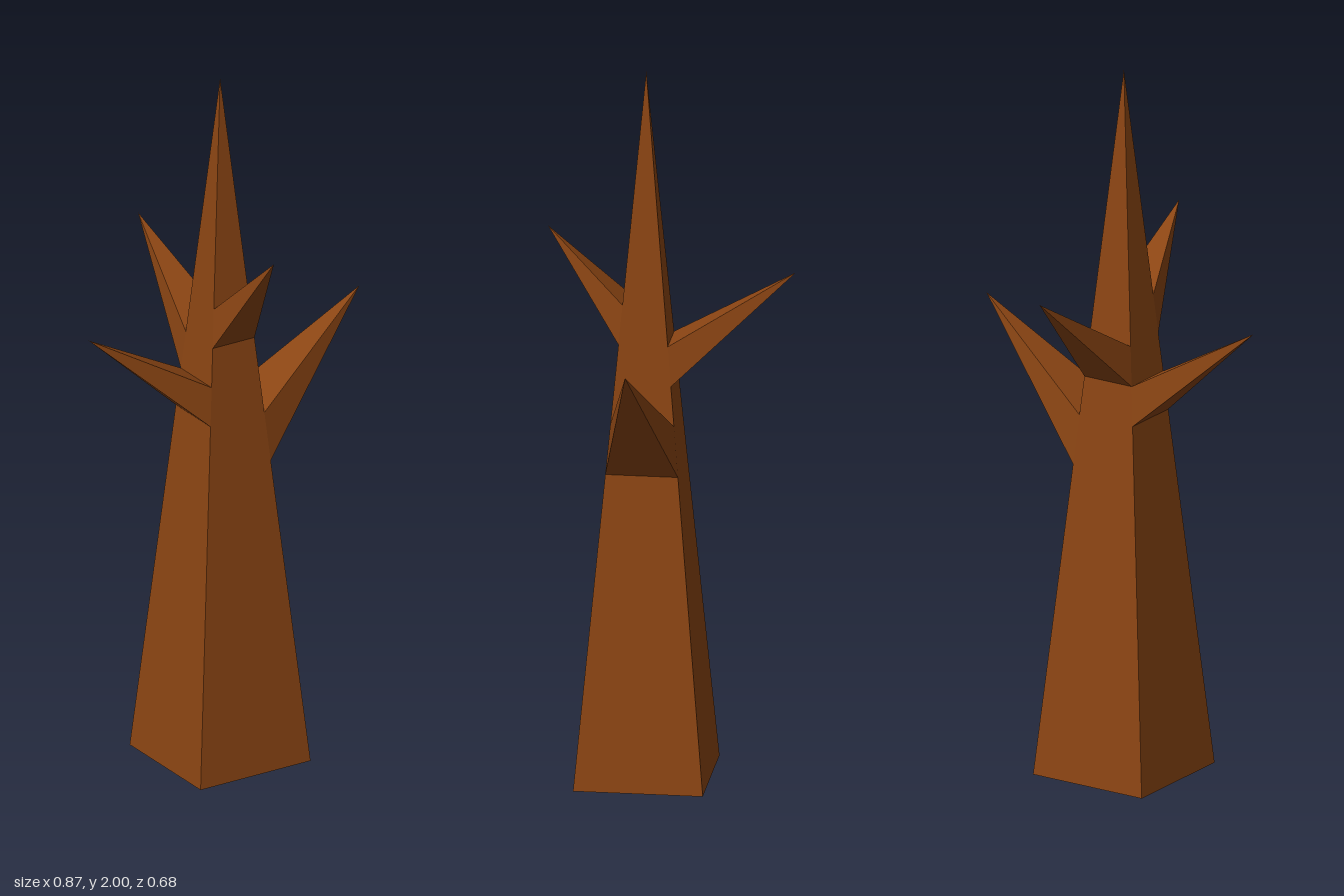
import * as THREE from 'three';

const HEIGHT = 2, BASE = 0.1765;
// Half-width of the square trunk at height y
const halfWidth = (y) => BASE * (1 - y / HEIGHT);

// Spike growing out of the trunk's +z face between heights low and high
function branchGeometry(low, high, tipY, reach) {
  const a = halfWidth(low), b = halfWidth(high);
  const ring = [[-a, low, a], [a, low, a], [b, high, b], [-b, high, b]];
  const tip = [0, tipY, reach];
  const points = [];
  for (let i = 0; i < 4; i++) points.push(...ring[i], ...ring[(i + 1) % 4], ...tip);
  const geometry = new THREE.BufferGeometry();
  geometry.setAttribute('position', new THREE.Float32BufferAttribute(points, 3));
  geometry.computeVertexNormals();
  return geometry;
}

export function createModel() {
  const bark = new THREE.MeshStandardMaterial({ color: 0x8b4513, flatShading: true });
  bark.name = 'brown bark';

  const tree = new THREE.Group();
  tree.name = 'bareTree';

  // Square tapering trunk, ending in a point
  const trunkGeometry = new THREE.ConeGeometry(BASE * Math.SQRT2, HEIGHT, 4);
  trunkGeometry.rotateY(Math.PI / 4).translate(0, HEIGHT / 2, 0);
  const trunk = new THREE.Mesh(trunkGeometry, bark);
  trunk.name = 'trunk';
  tree.add(trunk);

  // One branch per side, climbing in a spiral: name, turn, low, high, tip height, reach
  const branches = [
    ['leftBranch', 1, 0.88, 1.02, 1.275, 0.447],
    ['rightBranch', 3, 1.02, 1.13, 1.325, 0.422],
    ['backBranch', 2, 1.13, 1.24, 1.445, 0.408],
    ['frontBranch', 0, 1.24, 1.35, 1.55, 0.268],
  ];
  for (const [name, turn, ...shape] of branches) {
    const branch = new THREE.Mesh(branchGeometry(...shape), bark);
    branch.name = name;
    branch.rotation.y = turn * Math.PI / 2;
    tree.add(branch);
  }

  // Offset so that the branch tips are centred
  tree.position.set(-0.0125, 0, 0.07);
  const model = new THREE.Group();
  model.name = 'model';
  model.add(tree);
  return model;
}
